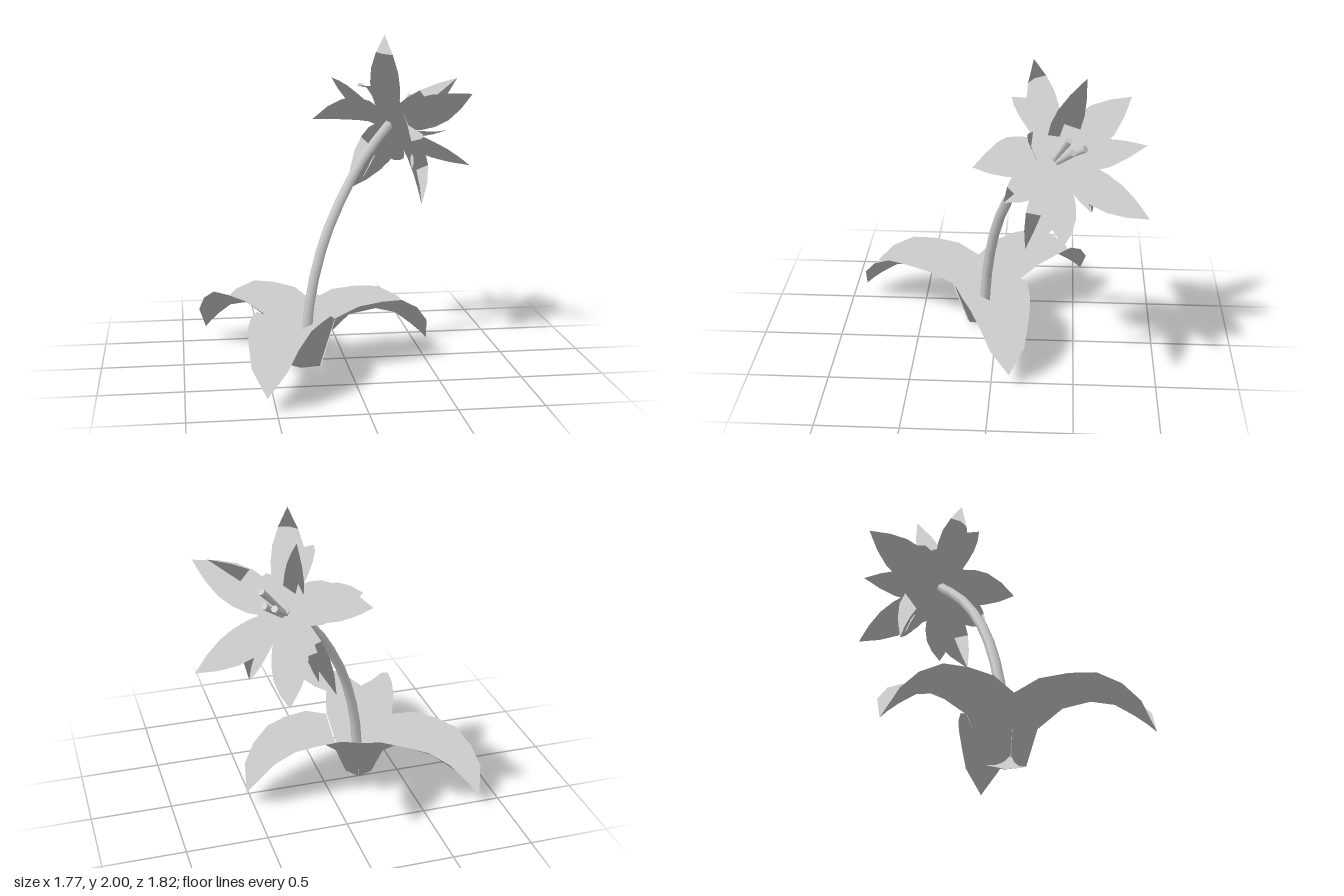
import * as THREE from 'three';

const V = (x, y, z) => new THREE.Vector3(x, y, z);
const solid = new THREE.MeshStandardMaterial({ color: 0xcccccc });
const sheet = new THREE.MeshStandardMaterial({ color: 0xcccccc, side: THREE.DoubleSide });

// Thin sheet through rows of points (left edge, midrib, right edge),
// lit evenly by upward normals
function ribbon(rows, name) {
  const points = rows.flat(), idx = [];
  for (let i = 0; i < rows.length - 1; i++) {
    for (let j = 0; j < 2; j++) {
      const a = i * 3 + j, b = a + 3;
      idx.push(a, a + 1, b, a + 1, b + 1, b);
    }
  }
  const g = new THREE.BufferGeometry().setFromPoints(points);
  g.setAttribute('normal', new THREE.Float32BufferAttribute(points.flatMap(() => [0, 1, 0]), 3));
  g.setIndex(idx);
  const m = new THREE.Mesh(g, sheet);
  m.name = name;
  return m;
}

// Arching leaf: stations of [midrib reach, midrib height, edge reach, half width, edge height]
const leafStations = [
  [0.06, 0, 0.055, 0.04, 0.005], [0.1, 0.01, 0.07, 0.11, 0.02], [0.18, 0.19, 0.125, 0.215, 0.34],
  [0.31, 0.29, 0.28, 0.225, 0.4], [0.5, 0.31, 0.45, 0.212, 0.41], [0.64, 0.27, 0.6, 0.185, 0.4],
  [0.75, 0.19, 0.73, 0.145, 0.33], [0.82, 0.13, 0.82, 0.105, 0.23], [0.87, 0.08, 0.87, 0, 0.08],
];
function leaf(root, tip) {
  const dir = tip.clone().sub(root);
  const k = dir.length() / 0.87;
  dir.normalize();
  const side = V(-dir.z, 0, dir.x);
  const rows = leafStations.map(([midR, midY, edgeR, w, edgeY]) => [-1, 0, 1].map(s =>
    root.clone().addScaledVector(dir, (s ? edgeR : midR) * k)
      .addScaledVector(side, s * w).setY(s ? edgeY : midY)));
  return ribbon(rows, 'leaf');
}

// Pointed petal, curved along its length and cupped towards the flower axis
const petalWidths = [0.32, 0.64, 0.92, 1, 0.9, 0.56, 0];
function petal(centre, axis, tip, halfWidth, lift, name) {
  const reach = tip.clone().sub(centre);
  const radial = reach.clone().addScaledVector(axis, -reach.dot(axis)).normalize();
  const side = radial.clone().cross(axis);
  const control = centre.clone().addScaledVector(reach, 0.5).addScaledVector(axis, lift * 2);
  const curve = new THREE.QuadraticBezierCurve3(centre, control, tip);
  const rows = petalWidths.map((f, i) => {
    const t = i / (petalWidths.length - 1);
    const p = curve.getPoint(t);
    const up = side.clone().cross(curve.getTangent(t)).normalize();
    return [-1, 0, 1].map(s => p.clone().addScaledVector(side, s * f * halfWidth)
      .addScaledVector(up, Math.abs(s) * f * halfWidth * 0.3));
  });
  return ribbon(rows, name);
}

// Stamen: slim rod, thicker at its tip
function stamen(from, to) {
  const d = to.clone().sub(from);
  const m = new THREE.Mesh(new THREE.CylinderGeometry(0.021, 0.012, d.length(), 6), solid);
  m.position.copy(from).addScaledVector(d, 0.5);
  m.quaternion.setFromUnitVectors(V(0, 1, 0), d.normalize());
  m.name = 'stamen';
  return m;
}

export function createModel() {
  const model = new THREE.Group();
  model.name = 'flowerPlant';
  const root = V(-0.26, 0, 0.09);
  const centre = V(0.33, 1.42, -0.36);
  const axis = V(0.61, 0.63, -0.47).normalize();

  // Bent stem
  const path = new THREE.CatmullRomCurve3([
    V(-0.26, 0.04, 0.09), V(-0.22, 0.42, 0.06), V(-0.13, 0.75, 0), V(0, 1.02, -0.09),
    V(0.15, 1.24, -0.21), centre.clone().addScaledVector(axis, 0.02),
  ]);
  const stem = new THREE.Mesh(new THREE.TubeGeometry(path, 10, 0.033, 6), solid);
  stem.name = 'stem';
  model.add(stem);

  // Three leaves that meet round the foot of the stem
  const leaves = new THREE.Group();
  leaves.name = 'leaves';
  for (const tip of [V(-0.85, 0, -0.55), V(-0.55, 0, 0.91), V(0.54, 0, -0.11)]) leaves.add(leaf(root, tip));
  model.add(leaves);

  // Layers of petals: name, half width, lift along the axis, tips
  const flower = new THREE.Group();
  flower.name = 'flower';
  const layers = [
    ['innerPetal', 0.095, -0.08, [[0.31, 1.9, -0.53], [0.74, 1.73, -0.21], [0.76, 1.35, -0.59], [0.37, 1.53, -0.88]]],
    ['middlePetal', 0.12, -0.06, [[0.28, 2.0, -0.23], [0.79, 1.65, 0], [0.02, 1.69, -0.8],
      [0.88, 1.14, -0.42], [0.46, 1.11, -0.91]]],
    ['outerPetal', 0.12, 0.08, [[0.09, 1.7, -0.1], [-0.14, 1.45, -0.51], [0.39, 1.38, 0.11],
      [0.52, 0.93, -0.2], [0.1, 0.97, -0.59]]],
    ['smallPetal', 0.105, 0.05, [[-0.05, 1.5, -0.38], [0.43, 1.18, -0.07], [0.2, 1.05, -0.57]]],
  ];
  for (const [name, width, lift, tips] of layers)
    for (const tip of tips) flower.add(petal(centre, axis, V(...tip), width, lift, name));

  // Stamens
  flower.add(stamen(V(0.34, 1.42, -0.36), V(0.49, 1.6, -0.44)));
  flower.add(stamen(V(0.34, 1.42, -0.39), V(0.44, 1.53, -0.53)));
  flower.add(stamen(V(0.35, 1.4, -0.37), V(0.48, 1.52, -0.46)));
  model.add(flower);
  return model;
}
